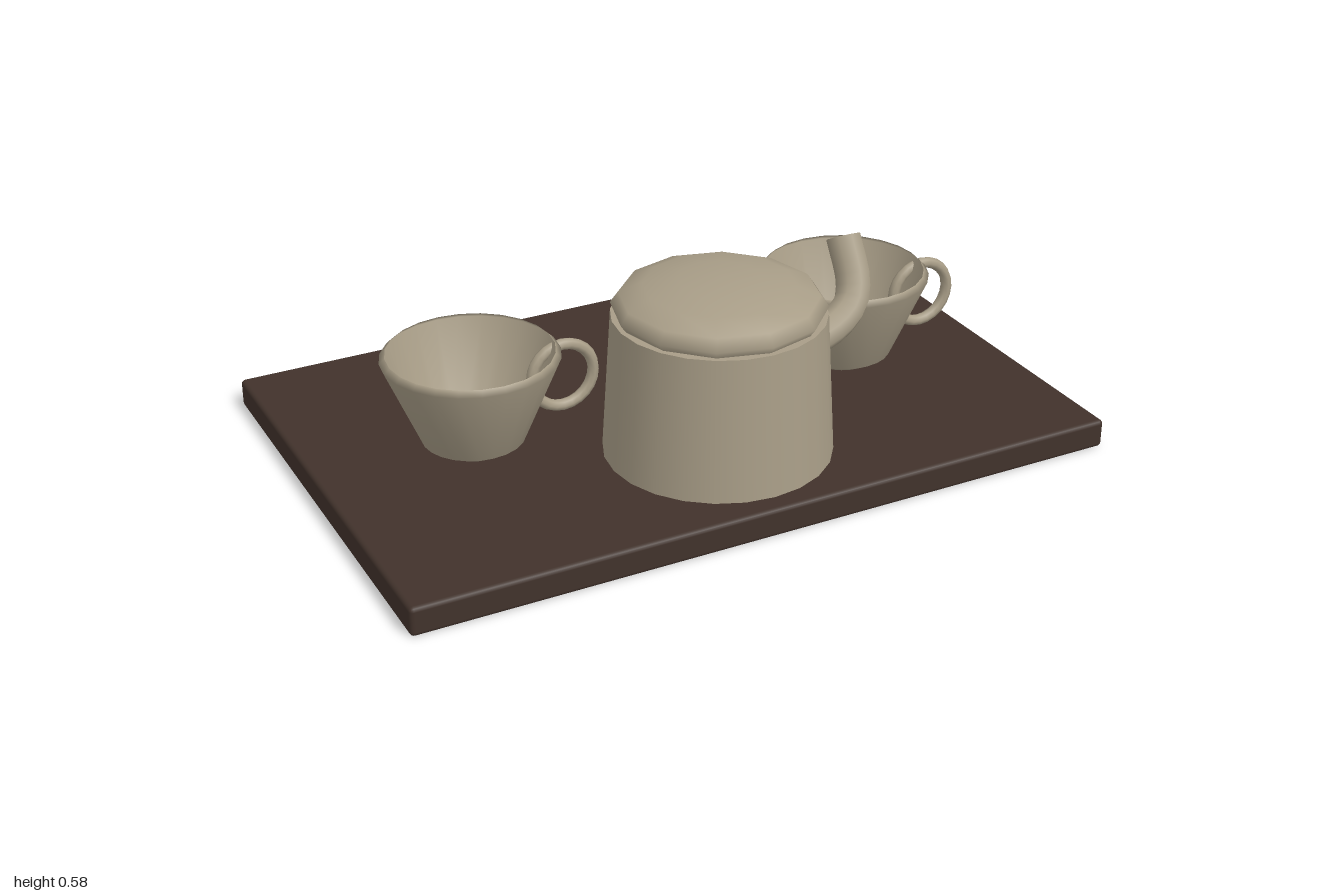
import * as THREE from 'three';
import { RoundedBoxGeometry } from 'three/addons/geometries/RoundedBoxGeometry.js';

export function createModel() {
  const wood = new THREE.MeshStandardMaterial({ name: 'dark wood', color: 0x41322b });
  const clay = new THREE.MeshStandardMaterial({ name: 'beige ceramic', color: 0xa89d87, side: THREE.DoubleSide });

  const add = (parent, name, geometry, material, x = 0, y = 0, z = 0) => {
    const mesh = new THREE.Mesh(geometry, material);
    mesh.name = name;
    mesh.position.set(x, y, z);
    parent.add(mesh);
    return mesh;
  };
  const group = (parent, name, x, y, z) => {
    const g = new THREE.Group();
    g.name = name;
    g.position.set(x, y, z);
    if (parent) parent.add(g);
    return g;
  };

  const model = group(null, 'teaSet', 0, 0, 0);

  // Tray with softened edges
  add(model, 'tray', new RoundedBoxGeometry(2, 0.08, 1.3, 2, 0.012), wood, 0, 0.04, 0);

  // Teapot: tapered body, flattened dome lid
  const pot = group(model, 'teapot', 0, 0, 0.305);
  add(pot, 'potBody', new THREE.CylinderGeometry(0.28, 0.304, 0.39, 24), clay, 0, 0.285, 0);
  const lid = add(pot, 'potLid', new THREE.SphereGeometry(0.28, 12, 8), clay, 0, 0.5, 0);
  lid.scale.y = 0.285;

  // Bent open spout, drawn in a plane and leaned towards the back
  const path = [[0.22, -0.005], [0.29, 0.012], [0.37, 0.04], [0.425, 0.083], [0.448, 0.14], [0.45, 0.26]];
  const curve = new THREE.CatmullRomCurve3(path.map(([x, y]) => new THREE.Vector3(x, y, 0)));
  const spout = add(pot, 'spout', new THREE.TubeGeometry(curve, 12, 0.048, 8, false), clay, 0, 0.32, -0.005);
  spout.rotation.x = -Math.PI / 6;

  // Two thin flared cups, each with a ring handle on the same side
  const profile = [[0.087, 0], [0.138, 0.03], [0.237, 0.265], [0.222, 0.28]]
    .map(([r, y]) => new THREE.Vector2(r, y));
  for (const [name, x] of [['leftCup', 0.565], ['rightCup', -0.565]]) {
    const cup = group(model, name, x, 0.081, 0);
    add(cup, 'cupBowl', new THREE.LatheGeometry(profile, 24), clay);
    add(cup, 'cupHandle', new THREE.TorusGeometry(0.09, 0.016, 8, 24), clay, 0.26, 0.149, 0);
  }

  return model;
}
